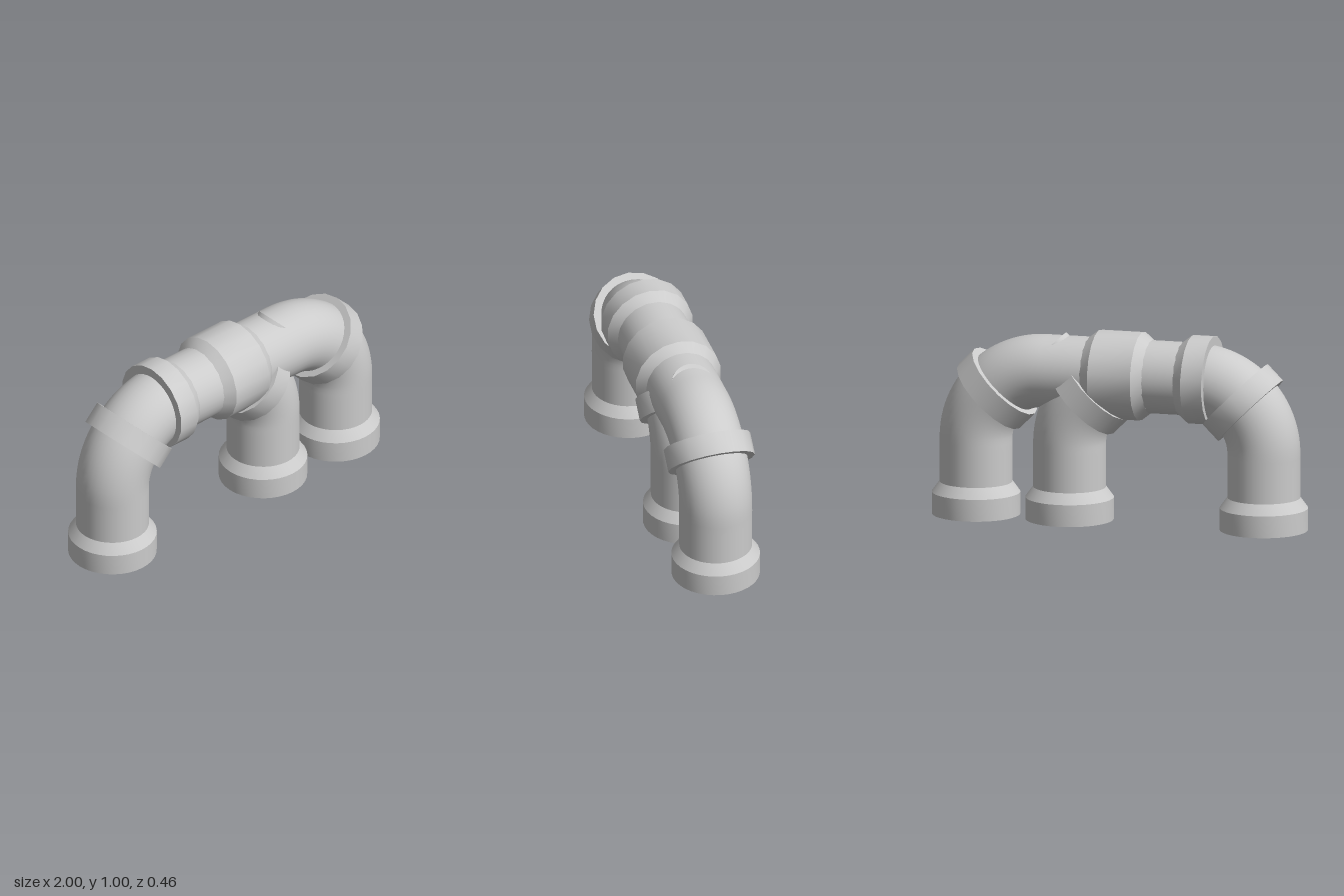
import * as THREE from 'three';
import { toCreasedNormals } from 'three/addons/utils/BufferGeometryUtils.js';

const material = new THREE.MeshStandardMaterial({ color: 0xcccccc });
const PIPE = 0.189, COLLAR = 0.229, BEND = 0.37, AXIS_Y = 0.771, LEG_X = 0.772;
const BEND_Y = AXIS_Y - BEND;

function add(group, name, geometry, x = 0, y = 0, tilt = 0) {
  const mesh = new THREE.Mesh(geometry, material);
  mesh.name = name;
  mesh.position.set(x, y, 0);
  mesh.rotation.z = tilt;
  group.add(mesh);
}

// Closed turned part from [radius, height] pairs, with crisp rims
function turned(profile, sides) {
  const points = profile.map(([r, h]) => new THREE.Vector2(r, h));
  return toCreasedNormals(new THREE.LatheGeometry(points, sides, Math.PI / 2), 0.5);
}

// Points along a bend round (cx, BEND_Y), angles in degrees
function bend(cx, from, to) {
  const points = [], steps = 16;
  for (let i = 0; i <= steps; i++) {
    const a = THREE.MathUtils.degToRad(from + (to - from) * i / steps);
    points.push(new THREE.Vector3(cx + BEND * Math.cos(a), BEND_Y + BEND * Math.sin(a), 0));
  }
  return points;
}

function pipe(points, segments) {
  const curve = new THREE.CatmullRomCurve3(points, false, 'centripetal');
  return new THREE.TubeGeometry(curve, segments, PIPE, 36, false);
}

export function createModel() {
  const group = new THREE.Group();
  const p = (x, y) => new THREE.Vector3(x, y, 0);
  const cx = LEG_X - BEND;

  // Arched main pipe from one foot to the other
  add(group, 'mainPipe', pipe([
    p(-LEG_X, 0.02), p(-LEG_X, 0.2), p(-LEG_X, 0.36),
    ...bend(-cx, 180, 90), p(-0.36, AXIS_Y), p(0, AXIS_Y), p(0.36, AXIS_Y),
    ...bend(cx, 90, 0), p(LEG_X, 0.36), p(LEG_X, 0.2), p(LEG_X, 0.02),
  ], 120));

  // Middle branch rising into the main pipe
  const branchX = 0.27, branchCx = branchX - BEND;
  add(group, 'branchPipe', pipe([
    p(branchX, 0.02), p(branchX, 0.2), p(branchX, 0.36),
    ...bend(branchCx, 0, 45), p(0.08, 0.745),
  ], 60));

  // Feet: socket with a tapered shoulder
  const foot = turned([[0, 0], [COLLAR, 0], [COLLAR, 0.115], [PIPE, 0.17], [0, 0.17]], 36);
  for (const [name, x] of [['rightFoot', -LEG_X], ['branchFoot', branchX], ['leftFoot', LEG_X]]) {
    add(group, name, foot, x, 0);
  }

  // Slanted joint rings halfway round each bend
  const ring = turned([[0, -0.058], [COLLAR, -0.058], [COLLAR, 0.058], [0, 0.058]], 18);
  const d = BEND * Math.SQRT1_2;
  add(group, 'rightJointRing', ring, -cx - d + 0.004, BEND_Y + d, -Math.PI / 4);
  add(group, 'leftJointRing', ring, cx + d - 0.004, BEND_Y + d, Math.PI / 4);
  add(group, 'branchJointRing', ring, branchCx + d - 0.004, BEND_Y + d, Math.PI / 4);

  // Sleeves on the horizontal run
  const r = 0.231;
  add(group, 'endSleeve', turned(
    [[0, -0.5], [r, -0.5], [r, -0.387], [PIPE, -0.333], [0, -0.333]], 18), 0, AXIS_Y - 0.001, -Math.PI / 2);
  add(group, 'middleSleeve', turned(
    [[0, -0.17], [PIPE, -0.17], [r, -0.117], [r, 0.113], [PIPE, 0.167], [0, 0.167]], 18),
    0, AXIS_Y - 0.001, -Math.PI / 2);

  // Small crescent rib showing through the top
  add(group, 'crescentRib', new THREE.CylinderGeometry(0.114, 0.114, 0.025, 24), 0.364, 0.887, -Math.PI / 4);

  return group;
}
